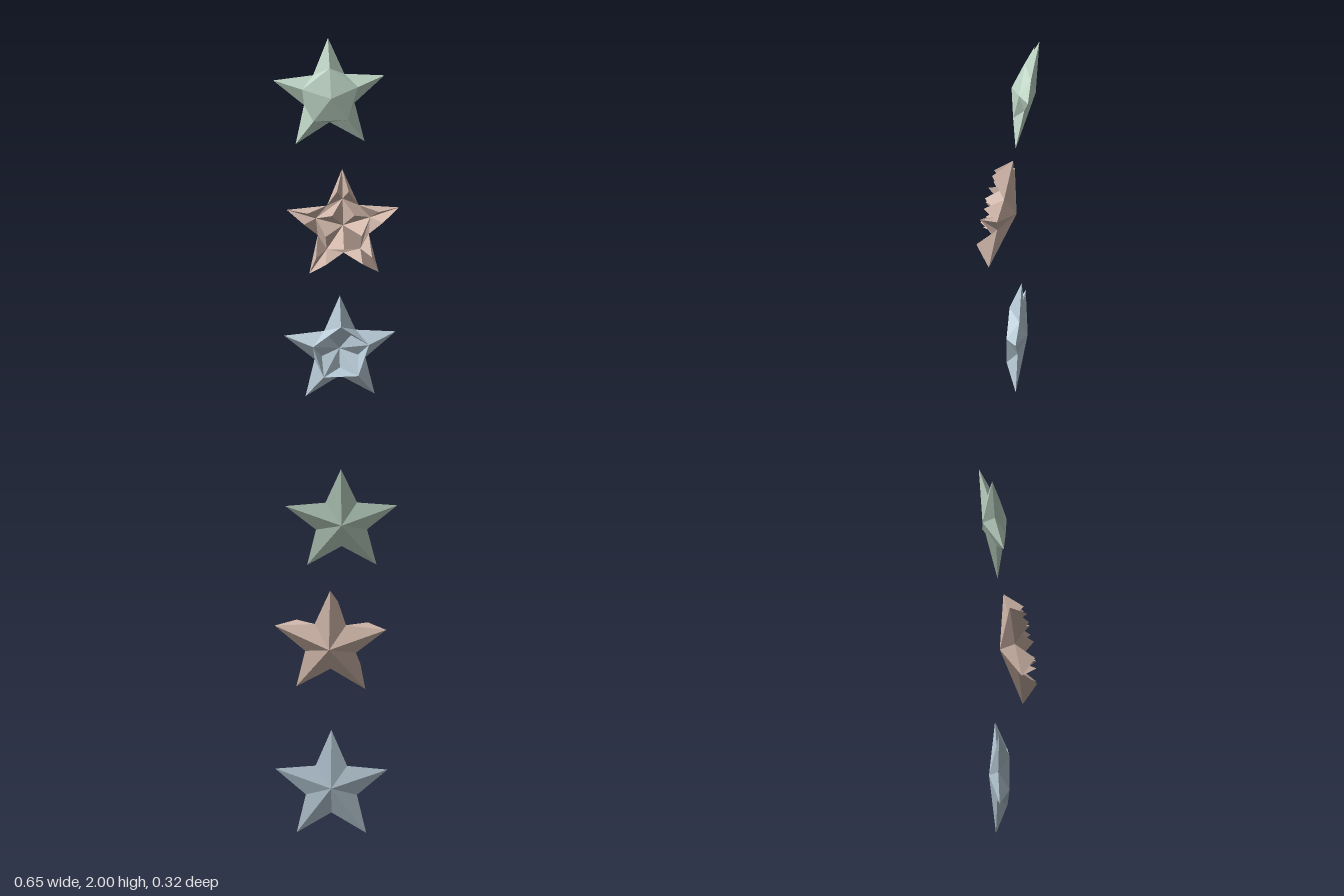
import * as THREE from 'three';

const STEP = Math.PI * 2 / 5;

// Point from radius, angle (0 = straight up, counter-clockwise) and height
const polar = (r, a, h) => [-r * Math.sin(a), r * Math.cos(a), h];

// Five-fold faceted star. ridge, centre, dimple and spur are [radius, height].
// dimple folds each central triangle; spur puts a pair of spikes on every arm.
function star({ name, color, position, tilt, back, ridge, centre, dimple, spur }) {
  const out = [];
  const tri = (...points) => points.forEach((p) => out.push(...p));
  const C = [0, 0, centre], B = [0, 0, back];

  for (let i = 0; i < 5; i++) {
    const a = i * STEP;
    const T = polar(0.31, a, 0), T2 = polar(0.31, a + STEP, 0);
    const N = polar(0.141, a + STEP / 2, 0);
    const P = polar(ridge[0], a, ridge[1]), P2 = polar(ridge[0], a + STEP, ridge[1]);

    // Arm flanks on both sides of the notch
    if (spur) {
      const d = 0.148;
      const O = polar(spur[0], a + d, spur[1]);
      const O2 = polar(spur[0], a + STEP - d, spur[1]);
      tri(P, T, O); tri(T, N, O); tri(N, P, O);
      tri(P2, O2, T2); tri(T2, O2, N); tri(N, O2, P2);
    } else {
      tri(P, T, N);
      tri(P2, N, T2);
    }
    // Strip between the notch and the inner pentagon
    tri(P, N, P2);

    // Central pentagon
    if (dimple) {
      const M = polar(dimple[0], a + STEP / 2, dimple[1]);
      tri(C, P, M); tri(C, M, P2); tri(P, P2, M);
    } else {
      tri(C, P, P2);
    }
    // Back pyramid
    tri(B, N, T);
    tri(B, T2, N);
  }

  const geometry = new THREE.BufferGeometry();
  geometry.setAttribute('position', new THREE.Float32BufferAttribute(out, 3));
  geometry.computeVertexNormals();
  const mesh = new THREE.Mesh(geometry, new THREE.MeshStandardMaterial({
    color, flatShading: true, side: THREE.DoubleSide,
  }));
  mesh.name = name;
  mesh.position.set(...position);
  mesh.rotation.set(tilt[0], tilt[1], 0);
  return mesh;
}

export function createModel() {
  const group = new THREE.Group();
  group.name = 'starTrio';
  group.add(
    // Domed star at the top, leaning back
    star({
      name: 'domedStar', color: 0xbdd4c4, position: [-0.033, 1.697, -0.097],
      tilt: [-0.207, 0.035], back: -0.045, ridge: [0.155, 0.045], centre: 0.085,
    }),
    // Spiky star in the middle
    star({
      name: 'spikyStar', color: 0xd0b6a9, position: [0.029, 1.001, 0.027],
      tilt: [-0.178, -0.07], back: -0.075, ridge: [0.15, 0], centre: -0.03,
      dimple: [0.1, 0.103], spur: [0.21, 0.09],
    }),
    // Hollowed star at the bottom
    star({
      name: 'hollowStar', color: 0xb7cad6, position: [0.021, 0.253, -0.064],
      tilt: [-0.027, 0], back: -0.04, ridge: [0.155, 0.06], centre: -0.035,
      dimple: [0.1, -0.008],
    }),
  );
  return group;
}
